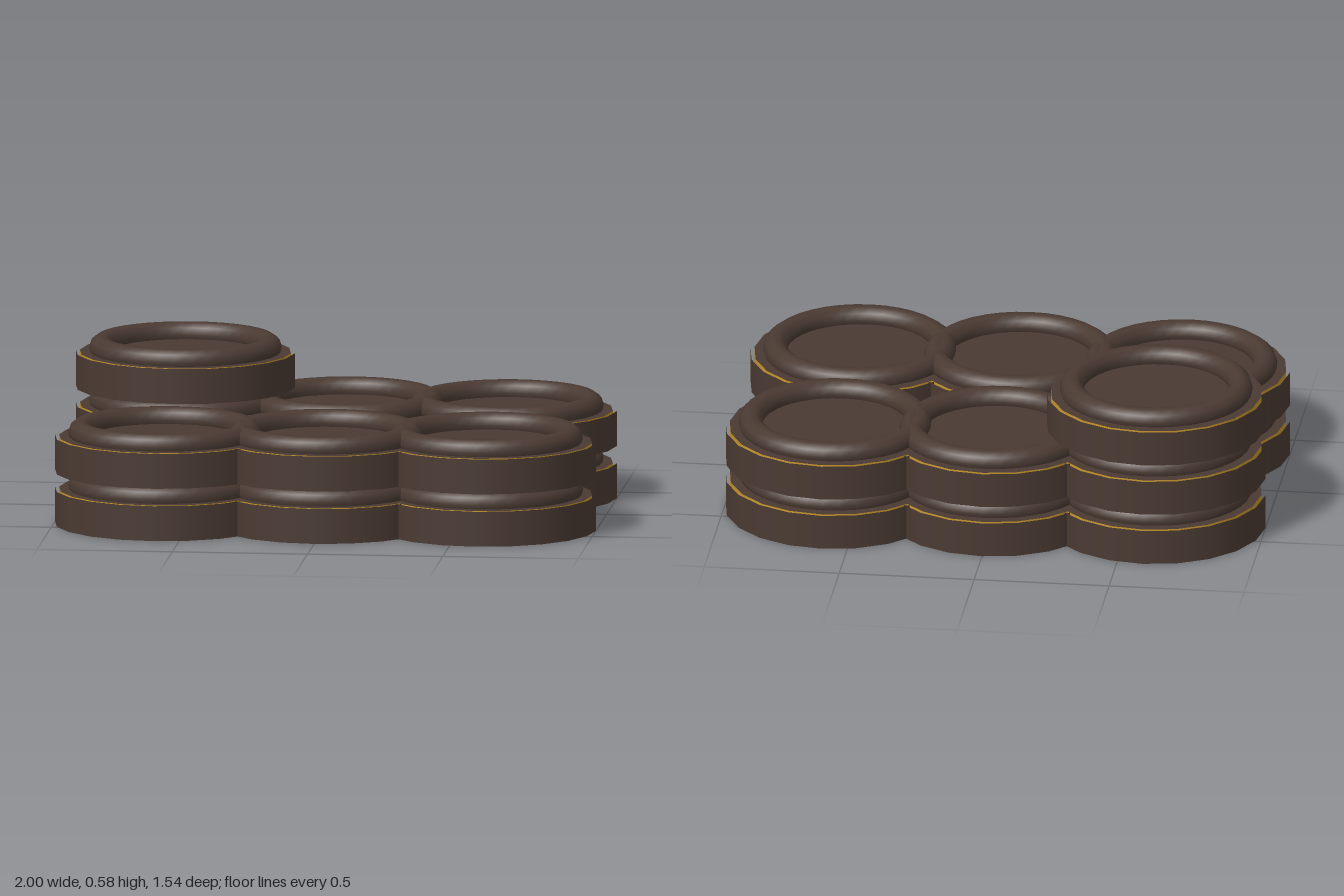
import * as THREE from 'three';

const SIDES = 20;
const brown = new THREE.MeshStandardMaterial({ color: 0x4a3a32 });
const gold = new THREE.MeshStandardMaterial({ color: 0xc8962e });

// Shared sizes
const HEIGHT = 0.13, CORE_R = 0.39, SHELL_R = 0.405;
const PITCH = 0.195, BASE = 0.02;

const shellGeo = new THREE.CylinderGeometry(SHELL_R, SHELL_R, HEIGHT, SIDES, 1, true);
const coreGeo = new THREE.CylinderGeometry(CORE_R, CORE_R, HEIGHT, SIDES, 1, true);
const faceGeo = new THREE.CircleGeometry(CORE_R, SIDES).rotateX(-Math.PI / 2);
const rimGeo = new THREE.TorusGeometry(0.31, 0.045, 10, 36).rotateX(Math.PI / 2);

function part(name, geometry, material, y) {
  const mesh = new THREE.Mesh(geometry, material);
  mesh.name = name;
  mesh.position.y = y;
  return mesh;
}

// One round piece: gold core, slim outer shell, flat faces and a raised rim
function createPiece() {
  const piece = new THREE.Group();
  piece.name = 'piece';
  const bottom = part('bottomFace', faceGeo, brown, 0);
  bottom.rotation.x = Math.PI;
  piece.add(
    part('outerShell', shellGeo, brown, HEIGHT / 2),
    part('goldCore', coreGeo, gold, HEIGHT / 2),
    part('topFace', faceGeo, brown, HEIGHT),
    bottom,
    part('raisedRim', rimGeo, brown, HEIGHT + 0.015)
  );
  return piece;
}

export function createModel() {
  const model = new THREE.Group();
  model.name = 'stackedPieces';
  // Six stacks of two, with a third piece on the back right stack
  for (const x of [-0.595, 0, 0.595]) {
    for (const z of [-0.365, 0.365]) {
      const stack = new THREE.Group();
      stack.name = 'stack';
      const count = x < 0 && z < 0 ? 3 : 2;
      for (let i = 0; i < count; i++) {
        const piece = createPiece();
        piece.position.y = BASE + i * PITCH;
        stack.add(piece);
      }
      stack.position.set(x, 0, z);
      model.add(stack);
    }
  }
  return model;
}
